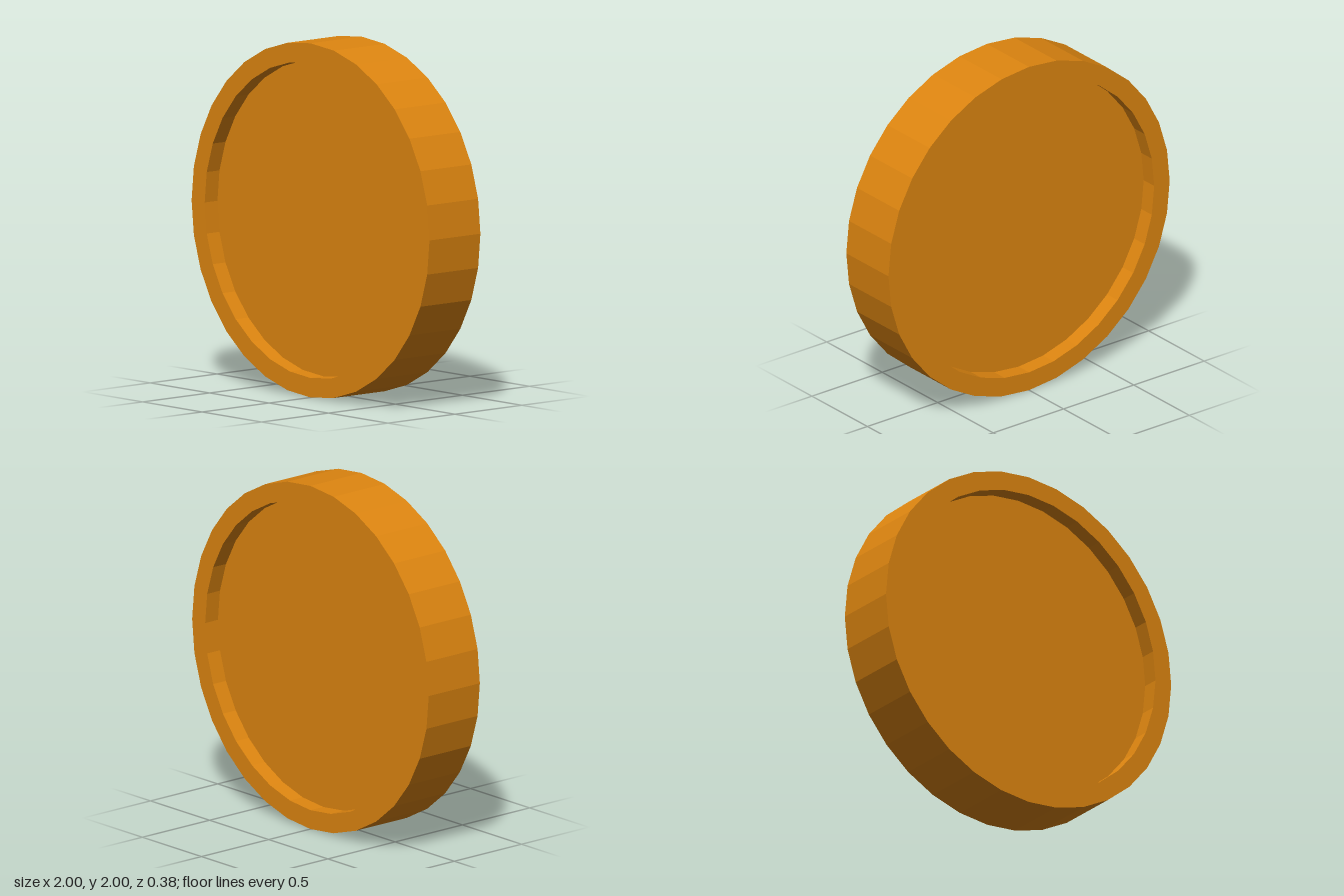
import * as THREE from 'three';

const SIDES = 32;
const OUTER = 1, INNER = 0.89;
const HALF_DEPTH = 0.19, PANEL_Z = 0.095;

export function createModel() {
  const model = new THREE.Group();
  model.name = 'disc';
  const material = new THREE.MeshStandardMaterial({ color: 0xdd8510, flatShading: true });

  const add = (name, geometry) => {
    const mesh = new THREE.Mesh(geometry, material);
    mesh.name = name;
    mesh.position.y = OUTER;
    model.add(mesh);
    return mesh;
  };

  // Raised rim: back recess wall, back lip, outer edge, front lip, front recess wall
  const profile = [
    [INNER, -PANEL_Z], [INNER, -HALF_DEPTH], [OUTER, -HALF_DEPTH],
    [OUTER, HALF_DEPTH], [INNER, HALF_DEPTH], [INNER, PANEL_Z],
  ].map(([r, d]) => new THREE.Vector2(r, d));
  add('rim', new THREE.LatheGeometry(profile, SIDES).rotateX(Math.PI / 2));

  // Recessed faces on both sides
  add('frontPanel', new THREE.CircleGeometry(INNER, SIDES)).position.z = PANEL_Z;
  add('backPanel', new THREE.CircleGeometry(INNER, SIDES).rotateY(Math.PI)).position.z = -PANEL_Z;

  return model;
}
